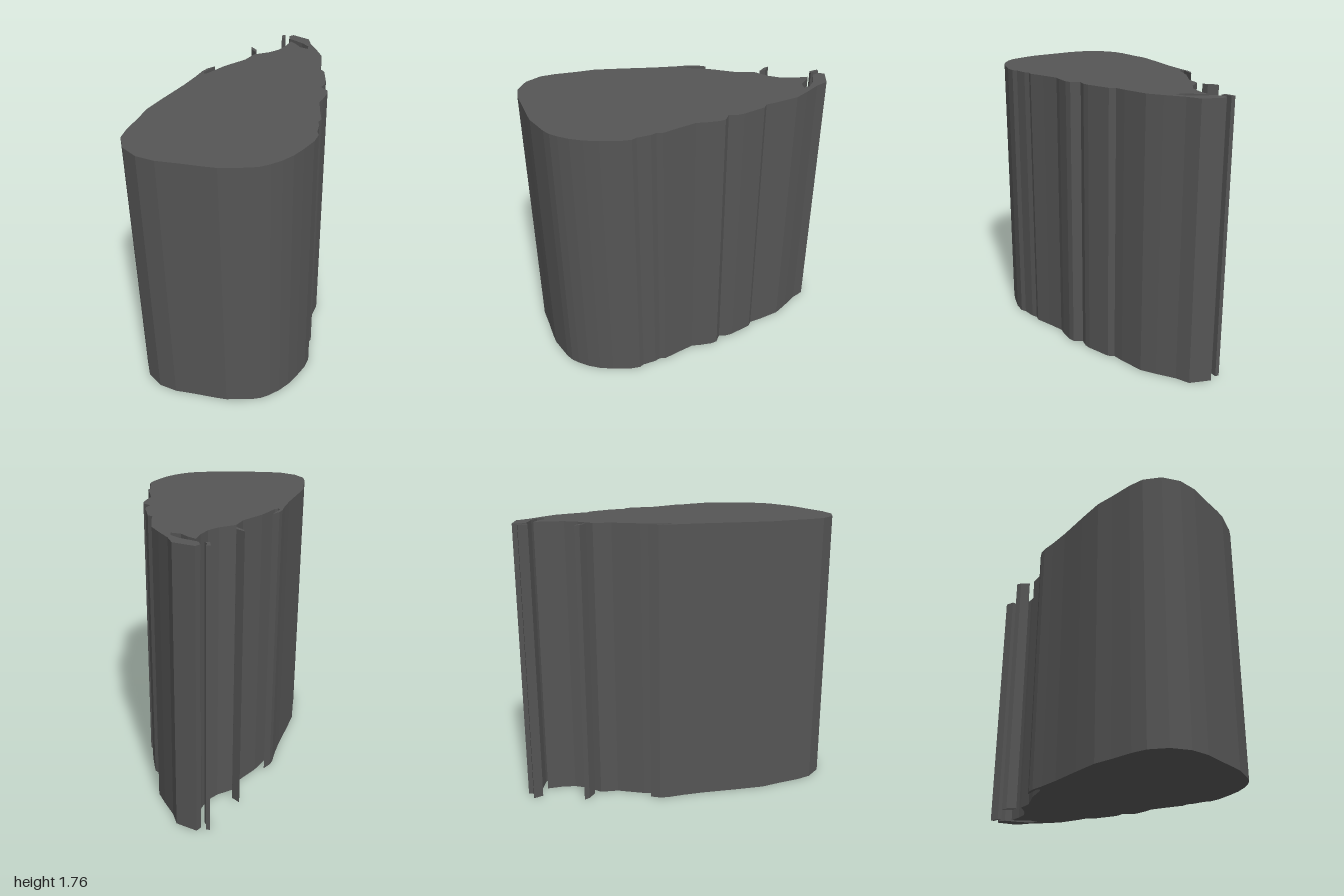
import * as THREE from 'three';

const HEIGHT = 1.76;

// Main outline as x, z pairs, starting at the rear tip and running down the left side
const MAINLAND = [
  // rear tip and left coast
  -0.42, -1.0, -0.28, -0.99, -0.22, -0.92, -0.12, -0.84, -0.04, -0.77, 0.04, -0.63,
  0.07, -0.565, 0.11, -0.55, 0.2, -0.42, 0.217, -0.38, 0.22, -0.325, 0.28, -0.305,
  0.3, -0.27, 0.32, -0.18, 0.325, -0.13, 0.39, -0.03, 0.453, 0.06, 0.455, 0.1,
  0.48, 0.13, 0.515, 0.21, 0.54, 0.235, 0.557, 0.31, 0.557, 0.42, 0.55, 0.51,
  // rounded front
  0.53, 0.59, 0.5, 0.66, 0.47, 0.71, 0.43, 0.75, 0.29, 0.85, 0.22, 0.88,
  0.09, 0.93, -0.03, 0.98, -0.15, 1.0, -0.27, 0.97, -0.36, 0.89, -0.4, 0.8,
  // right coast with its narrow spit
  -0.44, 0.66, -0.48, 0.54, -0.5, 0.36, -0.52, 0.14, -0.54, 0.0, -0.56, -0.1,
  -0.56, -0.15, -0.54, -0.21, -0.54, -0.09, -0.525, -0.07, -0.51, -0.09, -0.49, -0.25,
  -0.44, -0.42, -0.445, -0.53, -0.38, -0.62, -0.35, -0.7, -0.35, -0.79, -0.365, -0.88,
  // lagoon below the rear tip
  -0.31, -0.86, -0.25, -0.825, -0.19, -0.83, -0.21, -0.87, -0.28, -0.9, -0.4, -0.92,
  -0.43, -0.96,
];

// Two detached slivers off the right coast
const REAR_ISLET = [-0.49, -0.96, -0.465, -0.965, -0.455, -0.93, -0.43, -0.91, -0.46, -0.905];
const SIDE_ISLET = [-0.54, -0.635, -0.48, -0.61, -0.463, -0.57, -0.52, -0.605];

export function createModel() {
  const group = new THREE.Group();
  group.name = 'extrudedIsland';
  const material = new THREE.MeshStandardMaterial({ color: 0x555555, flatShading: true });

  // Raises an x, z outline into a vertical prism standing on y = 0
  function addPrism(name, outline) {
    const points = [];
    for (let i = 0; i < outline.length; i += 2) {
      points.push(new THREE.Vector2(outline[i], -outline[i + 1]));
    }
    const geometry = new THREE.ExtrudeGeometry(new THREE.Shape(points), {
      depth: HEIGHT,
      bevelEnabled: false,
    });
    geometry.rotateX(-Math.PI / 2);
    const mesh = new THREE.Mesh(geometry, material);
    mesh.name = name;
    group.add(mesh);
  }

  addPrism('mainland', MAINLAND);
  addPrism('rearIslet', REAR_ISLET);
  addPrism('sideIslet', SIDE_ISLET);
  return group;
}
